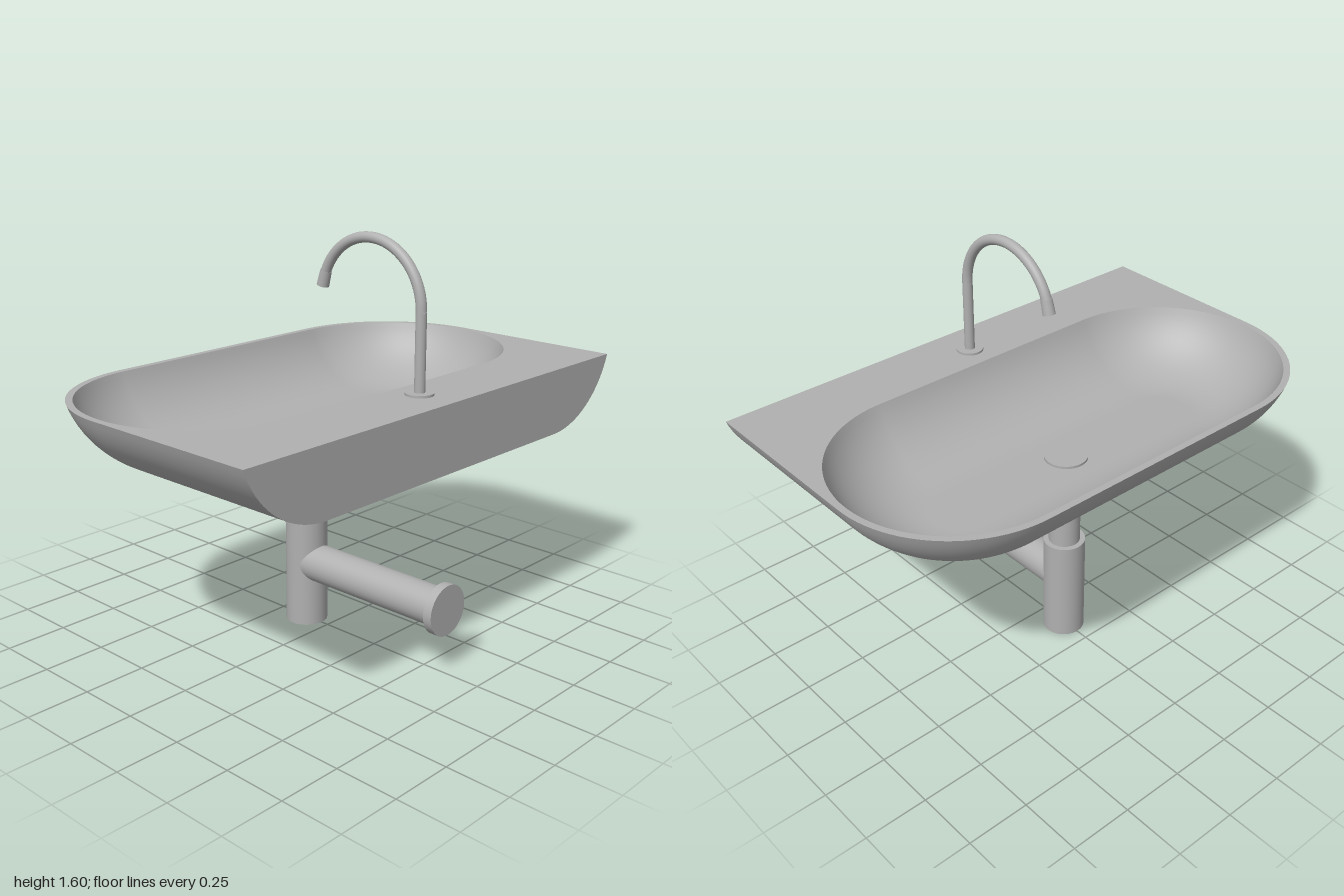
import * as THREE from 'three';

const RIM = 1.045, FRONT = 0.605, CX = 0.513, CZ = -0.122;
const ARC = 24, STEPS = 18;

// Plan of the outer shell: straight sides, rounded back corners, open at the front
function shellPlan(radius) {
  const pts = [[CX + radius, FRONT]];
  for (const [cx, a0] of [[CX, 0], [-CX, Math.PI / 2]])
    for (let i = 0; i <= ARC; i++) {
      const a = a0 + (Math.PI / 2) * (i / ARC);
      pts.push([cx + radius * Math.cos(a), CZ - radius * Math.sin(a)]);
    }
  pts.push([-CX - radius, FRONT]);
  return pts;
}

// Plan of the bowl: a stadium
function bowlPlan(radius) {
  const pts = [];
  for (const [cx, a0] of [[CX, -Math.PI / 2], [-CX, Math.PI / 2]])
    for (let i = 0; i <= ARC * 2; i++) {
      const a = a0 + Math.PI * (i / (ARC * 2));
      pts.push([cx + radius * Math.cos(a), CZ - radius * Math.sin(a)]);
    }
  return pts;
}

// Circular wall section from the rim down to a level floor: [inset, y]
function wallSection(inset, floor) {
  const depth = RIM - floor;
  const R = (inset * inset + depth * depth) / (2 * depth);
  const top = Math.asin(inset / R);
  return Array.from({ length: STEPS + 1 }, (_, i) => {
    const a = top * (1 - i / STEPS);
    return [inset - R * Math.sin(a), floor + R * (1 - Math.cos(a))];
  });
}

// Skin over equal-length rings of [x, y, z]
function loft(rings, closed, inward) {
  const n = rings[0].length, index = [];
  for (let r = 0; r < rings.length - 1; r++)
    for (let i = 0; i < (closed ? n : n - 1); i++) {
      const a = r * n + i, b = r * n + (i + 1) % n, c = a + n, d = b + n;
      if (inward) index.push(a, b, c, b, d, c);
      else index.push(a, c, b, b, c, d);
    }
  const g = new THREE.BufferGeometry();
  g.setAttribute('position', new THREE.Float32BufferAttribute(rings.flat(2), 3));
  g.setIndex(index);
  g.computeVertexNormals();
  return g;
}

const toShape = pts => new THREE.Shape(pts.map(([x, y]) => new THREE.Vector2(x, y)));

export function createModel() {
  const model = new THREE.Group();
  model.name = 'washbasin';
  const grey = new THREE.MeshStandardMaterial({ color: 0xb0b0b0, side: THREE.DoubleSide });
  grey.name = 'grey';

  const add = (name, geometry, x = 0, y = 0, z = 0) => {
    const mesh = new THREE.Mesh(geometry, grey);
    mesh.name = name;
    mesh.position.set(x, y, z);
    model.add(mesh);
    return mesh;
  };
  const cylinder = (name, r, y0, y1, z) =>
    add(name, new THREE.CylinderGeometry(r, r, y1 - y0, 48), 0, (y0 + y1) / 2, z);

  // Outer shell, closed underneath by folding the last ring to the middle line
  const outerR = 0.487, innerR = 0.461;
  const outer = wallSection(0.36, 0.787);
  const shell = outer.map(([t, y]) => shellPlan(outerR - t).map(([x, z]) => [x, y, z]));
  shell.push(shell[STEPS].map(([, y, z]) => [0, y, z]));
  add('outerShell', loft(shell, false, false));

  // Flat front panel
  const half = outer.map(([t, y]) => [CX + outerR - t, y]);
  const mirrored = half.map(([x, y]) => [-x, y]);
  add('frontPanel', new THREE.ShapeGeometry(toShape([...mirrored, ...half.reverse()])), 0, 0, FRONT);

  // Inner bowl with level floor
  const inner = wallSection(0.34, 0.806);
  const bowl = inner.map(([t, y]) => bowlPlan(innerR - t).map(([x, z]) => [x, y, z]));
  bowl.push(bowl[STEPS].map(([x, y]) => [x, y, CZ]));
  add('bowl', loft(bowl, true, true));

  // Deck and rim with the bowl opening
  const deck = toShape(shellPlan(outerR).map(([x, z]) => [x, -z]));
  deck.holes.push(toShape(bowlPlan(innerR).map(([x, z]) => [x, -z])));
  add('deck', new THREE.ShapeGeometry(deck).rotateX(-Math.PI / 2), 0, RIM, 0);

  // Drain plug
  cylinder('drainStem', 0.055, 0.8, 0.818, -0.12);
  cylinder('drainPlug', 0.084, 0.816, 0.826, -0.12);

  // Tap: upright, swan neck and nozzle
  cylinder('tapBase', 0.053, RIM, 1.054, 0.45);
  const neckR = 0.238, neckZ = 0.212, neckY = 1.342;
  const neckPoint = deg => {
    const a = THREE.MathUtils.degToRad(deg);
    return new THREE.Vector3(0, neckY + neckR * Math.sin(a), neckZ + neckR * Math.cos(a));
  };
  cylinder('tapUpright', 0.02, RIM, neckY, 0.45);
  const neck = new THREE.CatmullRomCurve3(Array.from({ length: 25 }, (_, i) => neckPoint(i * 158 / 24)));
  add('tapNeck', new THREE.TubeGeometry(neck, 64, 0.02, 24));
  const from = neckPoint(157), to = neckPoint(171);
  const dir = to.clone().sub(from);
  const nozzle = add('tapNozzle', new THREE.CylinderGeometry(0.024, 0.022, dir.length(), 32));
  nozzle.position.copy(from).add(to).multiplyScalar(0.5);
  nozzle.quaternion.setFromUnitVectors(new THREE.Vector3(0, 1, 0), dir.normalize());

  // Waste pipe and bottle trap
  cylinder('wasteCollar', 0.083, 0.732, 0.789, -0.115);
  cylinder('wastePipe', 0.062, 0.42, 0.74, -0.115);
  cylinder('bottleTrap', 0.083, 0, 0.432, -0.115);

  // Outlet pipe and its end flange
  add('outletPipe', new THREE.CylinderGeometry(0.075, 0.075, 0.69, 48).rotateX(Math.PI / 2), 0, 0.255, 0.23);
  add('outletFlange', new THREE.CylinderGeometry(0.099, 0.099, 0.036, 48).rotateX(Math.PI / 2), 0, 0.255, 0.587);

  return model;
}
